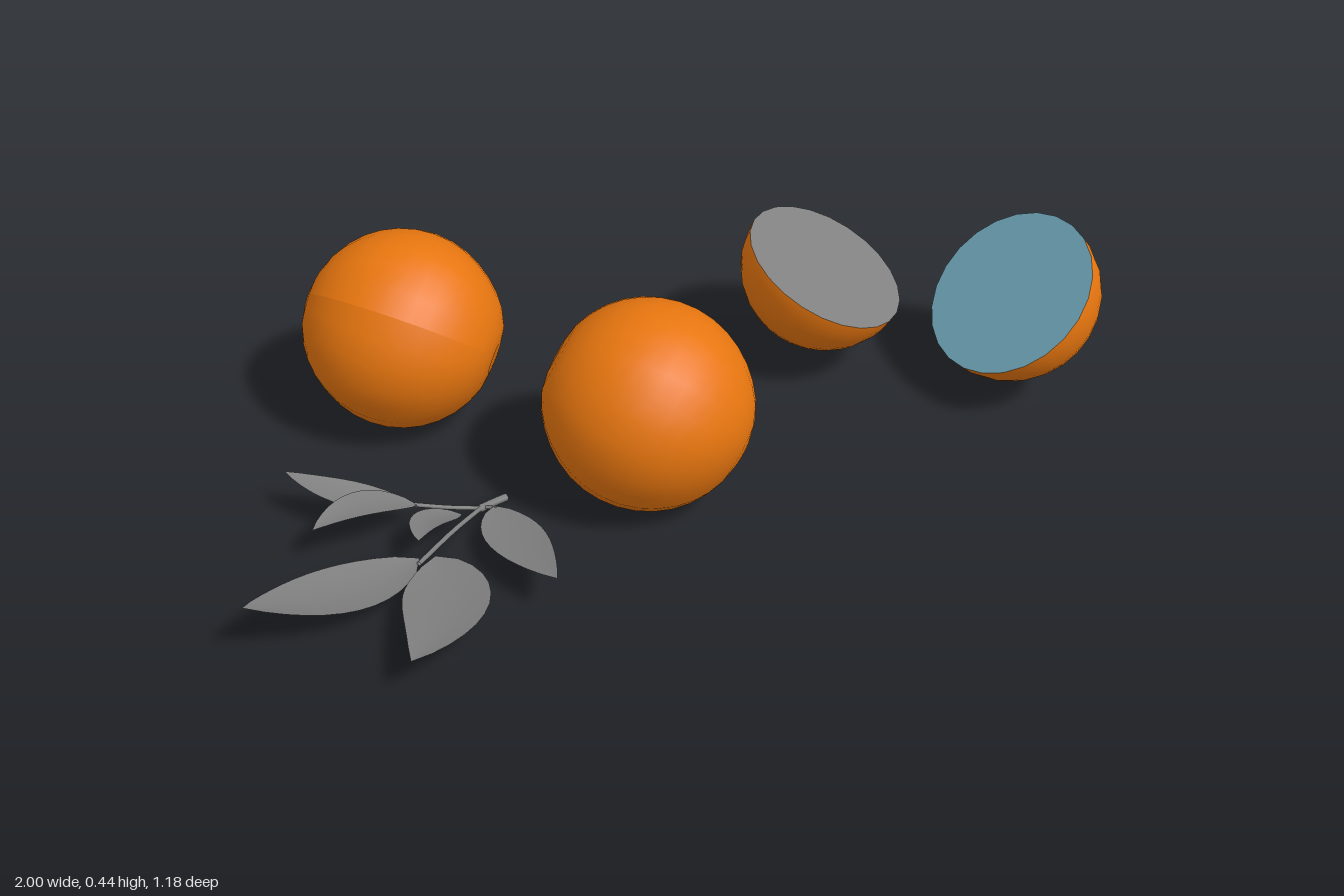
import * as THREE from 'three';

const orange = new THREE.MeshStandardMaterial({ color: 0xe8760f });
orange.name = 'orange peel';
const grey = new THREE.MeshStandardMaterial({ color: 0x808080, side: THREE.DoubleSide });
grey.name = 'grey';
const blue = new THREE.MeshStandardMaterial({ color: 0x6ca0b4, side: THREE.DoubleSide });
blue.name = 'pale blue';

const UP = new THREE.Vector3(0, 1, 0);
const v = (a) => new THREE.Vector3(...a);

function add(parent, name, geometry, material) {
  const mesh = new THREE.Mesh(geometry, material);
  mesh.name = name;
  parent.add(mesh);
  return mesh;
}

// Slightly lumpy ball whose +y pole is a small stem dimple
function fruitGeometry(radius) {
  const geo = new THREE.SphereGeometry(radius, 24, 18);
  const pos = geo.attributes.position;
  const p = new THREE.Vector3();
  for (let i = 0; i < pos.count; i++) {
    p.fromBufferAttribute(pos, i);
    const d = p.clone().normalize();
    const angle = Math.acos(THREE.MathUtils.clamp(d.y, -1, 1));
    const lumps = 0.01 * Math.sin(4 * d.x + 1) * Math.cos(5 * d.z + 2 * d.y);
    const dimple = 0.05 * Math.exp(-((angle / 0.17) ** 2));
    p.multiplyScalar(1 + lumps - dimple);
    pos.setXYZ(i, p.x, p.y, p.z);
  }
  geo.computeVertexNormals();
  return geo;
}

function wholeFruit(parent, name, centre, radius, stemDir) {
  const mesh = add(parent, name, fruitGeometry(radius), orange);
  mesh.position.set(...centre);
  mesh.quaternion.setFromUnitVectors(UP, v(stemDir).normalize());
}

// Hemisphere of peel closed by a flat cut face
function halfFruit(parent, name, centre, radius, normal, cutMaterial) {
  const half = new THREE.Group();
  half.name = name;
  add(half, 'peel', new THREE.SphereGeometry(radius, 24, 10, 0, Math.PI * 2, Math.PI / 2, Math.PI / 2), orange);
  add(half, 'cutFace', new THREE.CircleGeometry(radius, 24).rotateX(-Math.PI / 2), cutMaterial);
  half.position.set(...centre);
  half.quaternion.setFromUnitVectors(UP, v(normal).normalize());
  parent.add(half);
}

// Curved blade with a shallow fold along the midrib
function leafGeometry(base, mid, tip, width) {
  const curve = new THREE.QuadraticBezierCurve3(v(base), v(mid), v(tip));
  const rows = 12, cols = 4, pos = [], index = [];
  for (let i = 0; i <= rows; i++) {
    const t = i / rows;
    const c = curve.getPoint(t);
    const side = new THREE.Vector3().crossVectors(UP, curve.getTangent(t)).normalize();
    const w = (width / 2) * Math.sin(Math.PI * Math.pow(t, 0.85)) ** 0.85 || 0;
    for (let j = 0; j <= cols; j++) {
      const s = (j / cols) * 2 - 1;
      const p = c.clone().addScaledVector(side, s * w);
      pos.push(p.x, p.y + 0.12 * w * s * s, p.z);
      if (i < rows && j < cols) {
        const a = i * (cols + 1) + j, b = a + cols + 1;
        index.push(a, b, a + 1, a + 1, b, b + 1);
      }
    }
  }
  const geo = new THREE.BufferGeometry();
  geo.setAttribute('position', new THREE.Float32BufferAttribute(pos, 3));
  geo.setIndex(index);
  geo.computeVertexNormals();
  return geo;
}

export function createModel() {
  const model = new THREE.Group();
  model.name = 'oranges';

  wholeFruit(model, 'backOrange', [-0.29, 0.226, -0.38], 0.217, [0.6, -0.25, 0.75]);
  wholeFruit(model, 'frontOrange', [-0.07, 0.224, 0.183], 0.22, [-0.55, 0.4, -0.74]);
  halfFruit(model, 'greyHalf', [0.57, 0.257, 0.047], 0.192, [0.22, 0.89, 0.39], grey);
  halfFruit(model, 'blueHalf', [0.805, 0.255, 0.387], 0.198, [-0.69, 0.71, -0.12], blue);

  // Leafy sprig
  const sprig = new THREE.Group();
  sprig.name = 'sprig';
  model.add(sprig);
  const twigs = [
    [0.009, [-0.325, 0.02, 0.03], [-0.36, 0.02, 0.028], [-0.395, 0.022, 0.03]],
    [0.005, [-0.39, 0.022, 0.03], [-0.45, 0.035, 0.0], [-0.51, 0.05, -0.035]],
    [0.005, [-0.39, 0.022, 0.03], [-0.48, 0.025, 0.06], [-0.6, 0.03, 0.11]],
    [0.004, [-0.385, 0.022, 0.03], [-0.375, 0.025, 0.045], [-0.37, 0.03, 0.06]],
  ];
  for (const [r, ...pts] of twigs) {
    const path = new THREE.CatmullRomCurve3(pts.map(v));
    add(sprig, 'twig', new THREE.TubeGeometry(path, 6, r, 6), grey);
  }
  const leaves = [
    [[-0.585, 0.025, 0.09], [-0.8, 0.02, 0.11], [-1.0, 0.14, 0.13], 0.16],
    [[-0.56, 0.03, 0.11], [-0.61, 0.04, 0.29], [-0.82, 0.1, 0.41], 0.17],
    [[-0.505, 0.05, -0.03], [-0.63, 0.08, -0.09], [-0.69, 0.105, -0.235], 0.085],
    [[-0.505, 0.05, -0.03], [-0.62, 0.12, -0.055], [-0.75, 0.1, -0.035], 0.09],
    [[-0.435, 0.025, 0.025], [-0.54, 0.08, 0.03], [-0.6, 0.09, 0.115], 0.075],
    [[-0.37, 0.03, 0.05], [-0.435, 0.05, 0.2], [-0.47, 0.1, 0.39], 0.12],
  ];
  for (const l of leaves) add(sprig, 'leaf', leafGeometry(...l), grey);

  return model;
}
